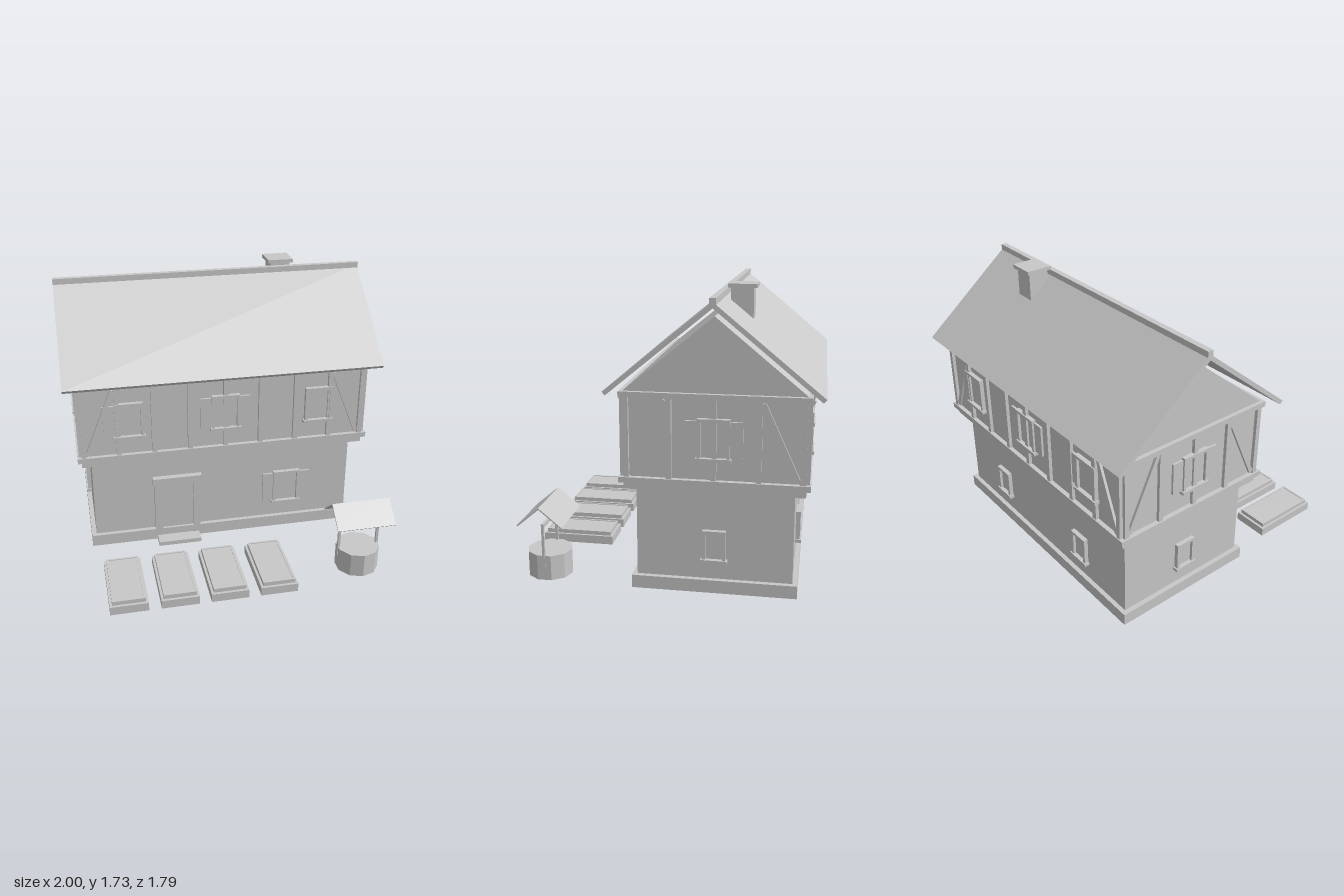
import * as THREE from 'three';

const grey = new THREE.MeshStandardMaterial({ color: 0xc8c8c8 });
grey.name = 'plain grey';

const CZ = -0.3; // house centre in z

function add(parent, name, geometry, x = 0, y = 0, z = 0) {
  const mesh = new THREE.Mesh(geometry, grey);
  mesh.name = name;
  mesh.position.set(x, y, z);
  parent.add(mesh);
  return mesh;
}

// box from minimum and maximum corners
function box(parent, name, x0, x1, y0, y1, z0, z1) {
  return add(parent, name, new THREE.BoxGeometry(x1 - x0, y1 - y0, z1 - z0),
    (x0 + x1) / 2, (y0 + y1) / 2, (z0 + z1) / 2);
}

function group(parent, name) {
  const g = new THREE.Group();
  g.name = name;
  parent.add(g);
  return g;
}

// [z, y] outline extruded along x, centred on x = 0
function alongX(points, length) {
  const shape = new THREE.Shape(points.map(([z, y]) => new THREE.Vector2(-z, y)));
  const geo = new THREE.ExtrudeGeometry(shape, { depth: length, bevelEnabled: false });
  geo.translate(0, 0, -length / 2);
  return geo.rotateY(Math.PI / 2);
}

// bent roof sheet: half width, ridge and eave heights, edge inset and drop
function roofSheet(half, ridge, eave, inset, drop, thick, length) {
  return alongX([[half, eave], [0, ridge], [-half, eave], [-half + inset, eave - drop],
    [0, ridge - thick], [half - inset, eave - drop]], length);
}

// local frame on a wall: x along it, z outward from its surface
function wallFrame(parent, name, angle, distance) {
  const g = group(parent, name);
  g.rotation.y = angle;
  g.position.set(Math.sin(angle) * distance, 0, CZ + Math.cos(angle) * distance);
  return g;
}

// framed window with sill and optional shutters
function addWindow(parent, x, y, w, h, shutters = '') {
  const g = group(parent, 'window');
  g.position.set(x, y, 0);
  const r = w / 2, t = 0.018;
  for (const s of [-1, 1]) {
    const c = s * (r - t / 2);
    box(g, 'windowJamb', c - t / 2, c + t / 2, 0, h, 0, 0.026);
  }
  box(g, 'windowHead', -r, r, h - t, h, 0, 0.028);
  box(g, 'windowPane', -r + t, r - t, 0, h - t, 0, 0.008);
  box(g, 'windowSill', -r - 0.009, r + 0.009, -0.018, 0.002, 0, 0.034);
  if (shutters.includes('L')) box(g, 'shutter', -0.16, -r, 0.005, h - 0.015, 0, 0.014);
  if (shutters.includes('R')) box(g, 'shutter', r, 0.16, 0.005, h - 0.015, 0, 0.014);
}

// diagonal timber
function brace(parent, x0, y0, x1, y1) {
  const len = Math.hypot(x1 - x0, y1 - y0);
  const b = add(parent, 'brace', new THREE.BoxGeometry(0.026, len, 0.016),
    (x0 + x1) / 2, (y0 + y1) / 2, 0.008);
  b.rotation.z = -Math.atan2(x1 - x0, y1 - y0);
}

export function createModel() {
  const model = new THREE.Group();
  model.name = 'timberHouse';
  const house = group(model, 'house');
  const slab = (name, hx, hz, y0, y1) => box(house, name, -hx, hx, y0, y1, CZ - hz, CZ + hz);

  // stacked storeys and beams
  slab('plinth', 0.885, 0.474, 0, 0.077);
  slab('groundFloor', 0.855, 0.446, 0.07, 0.62);
  slab('jettyBeam', 0.916, 0.506, 0.613, 0.655);
  slab('upperFloor', 0.91, 0.503, 0.65, 1.173);
  slab('sillBeam', 0.94, 0.53, 0.655, 0.688);
  slab('topBeam', 0.935, 0.526, 1.14, 1.173);

  // gables and roof
  add(house, 'gable', alongX([[0.505, 1.172], [0, 1.588], [-0.505, 1.172]], 1.82), 0, 0, CZ);
  add(house, 'roof', roofSheet(0.596, 1.673, 1.183, 0.017, 0.02, 0.033, 2), 0, 0, CZ);
  box(house, 'ridgeCap', -1, 1, 1.655, 1.694, CZ - 0.018, CZ + 0.018);

  // chimney
  box(house, 'chimneyStack', 0.416, 0.546, 1.4, 1.706, -0.473, -0.343);
  box(house, 'chimneyCap', 0.398, 0.564, 1.704, 1.727, -0.493, -0.327);

  // timber framing and upper windows on all four sides
  const sides = [
    { name: 'front', angle: 0, upper: 0.503, lower: 0.446 },
    { name: 'back', angle: Math.PI, upper: 0.503, lower: 0.446 },
    { name: 'left', angle: Math.PI / 2, upper: 0.91, lower: 0.855 },
    { name: 'right', angle: -Math.PI / 2, upper: 0.91, lower: 0.855 },
  ];
  for (const { name, angle, upper, lower } of sides) {
    const long = name === 'front' || name === 'back';
    const frame = wallFrame(house, name + 'UpperWall', angle, upper);
    const posts = long
      ? [-0.897, -0.683, -0.457, -0.228, 0, 0.228, 0.457, 0.683, 0.897]
      : [-0.487, -0.248, 0, 0.248, 0.487];
    for (const x of posts) box(frame, 'post', x - 0.015, x + 0.015, 0.68, 1.145, -0.01, 0.021);
    for (const s of [-1, 1]) {
      if (long) brace(frame, s * 0.876, 0.7, s * 0.703, 1.13);
      else brace(frame, s * 0.465, 0.7, s * 0.268, 1.13);
    }
    addWindow(frame, 0, 0.815, 0.18, 0.222, 'LR');
    if (long) {
      addWindow(frame, -0.61, 0.815, 0.18, 0.222, 'L');
      addWindow(frame, 0.608, 0.815, 0.18, 0.222, name === 'back' ? 'L' : '');
    }

    // ground floor openings
    const base = wallFrame(house, name + 'LowerWall', angle, lower);
    if (name === 'front') {
      addWindow(base, 0.428, 0.195, 0.18, 0.222, 'LR');
    } else {
      for (const x of long ? [-0.43, 0.43] : [0]) addWindow(base, x, 0.198, 0.134, 0.175);
    }
  }

  // front door
  const door = wallFrame(house, 'door', 0, 0.446);
  box(door, 'doorJamb', -0.463, -0.415, 0, 0.415, 0, 0.03);
  box(door, 'doorJamb', -0.206, -0.163, 0, 0.415, 0, 0.03);
  box(door, 'doorLeaf', -0.415, -0.206, 0.03, 0.398, 0, 0.012);
  box(door, 'doorHead', -0.415, -0.206, 0.398, 0.415, 0, 0.025);
  box(door, 'lintel', -0.473, -0.152, 0.412, 0.462, 0, 0.039);
  box(door, 'doorStep', -0.453, -0.173, 0, 0.028, 0, 0.116);

  // raised beds: base slab, rim and filling
  for (const x of [-0.717, -0.412, -0.11, 0.195]) {
    const bed = group(model, 'gardenBed');
    bed.position.set(x, 0, 0.668);
    box(bed, 'bedBase', -0.115, 0.115, 0, 0.054, -0.229, 0.229);
    const rim = new THREE.Shape([[-0.1, -0.212], [0.1, -0.212], [0.1, 0.212], [-0.1, 0.212]]
      .map(p => new THREE.Vector2(...p)));
    rim.holes.push(new THREE.Path([[-0.088, -0.2], [-0.088, 0.2], [0.088, 0.2], [0.088, -0.2]]
      .map(p => new THREE.Vector2(...p))));
    const rimGeo = new THREE.ExtrudeGeometry(rim, { depth: 0.026, bevelEnabled: false });
    add(bed, 'bedRim', rimGeo.rotateX(-Math.PI / 2), 0, 0.054, 0);
    box(bed, 'bedFilling', -0.088, 0.088, 0.05, 0.076, -0.2, 0.2);
  }

  // well with ten-sided wall, crossbar and little roof
  const well = group(model, 'well');
  well.position.set(0.75, 0, 0.705);
  const drum = new THREE.CylinderGeometry(0.135, 0.135, 0.152, 10).toNonIndexed();
  drum.computeVertexNormals();
  add(well, 'wellWall', drum, 0, 0.076, 0);
  for (const s of [-1, 1]) {
    add(well, 'wellPost', new THREE.BoxGeometry(0.016, 0.265, 0.015), s * 0.125, 0.2175, 0);
  }
  box(well, 'wellCrossbar', -0.133, 0.133, 0.326, 0.35, -0.008, 0.008);
  add(well, 'wellRoof', roofSheet(0.135, 0.47, 0.357, 0.005, 0.006, 0.01, 0.37));

  return model;
}
